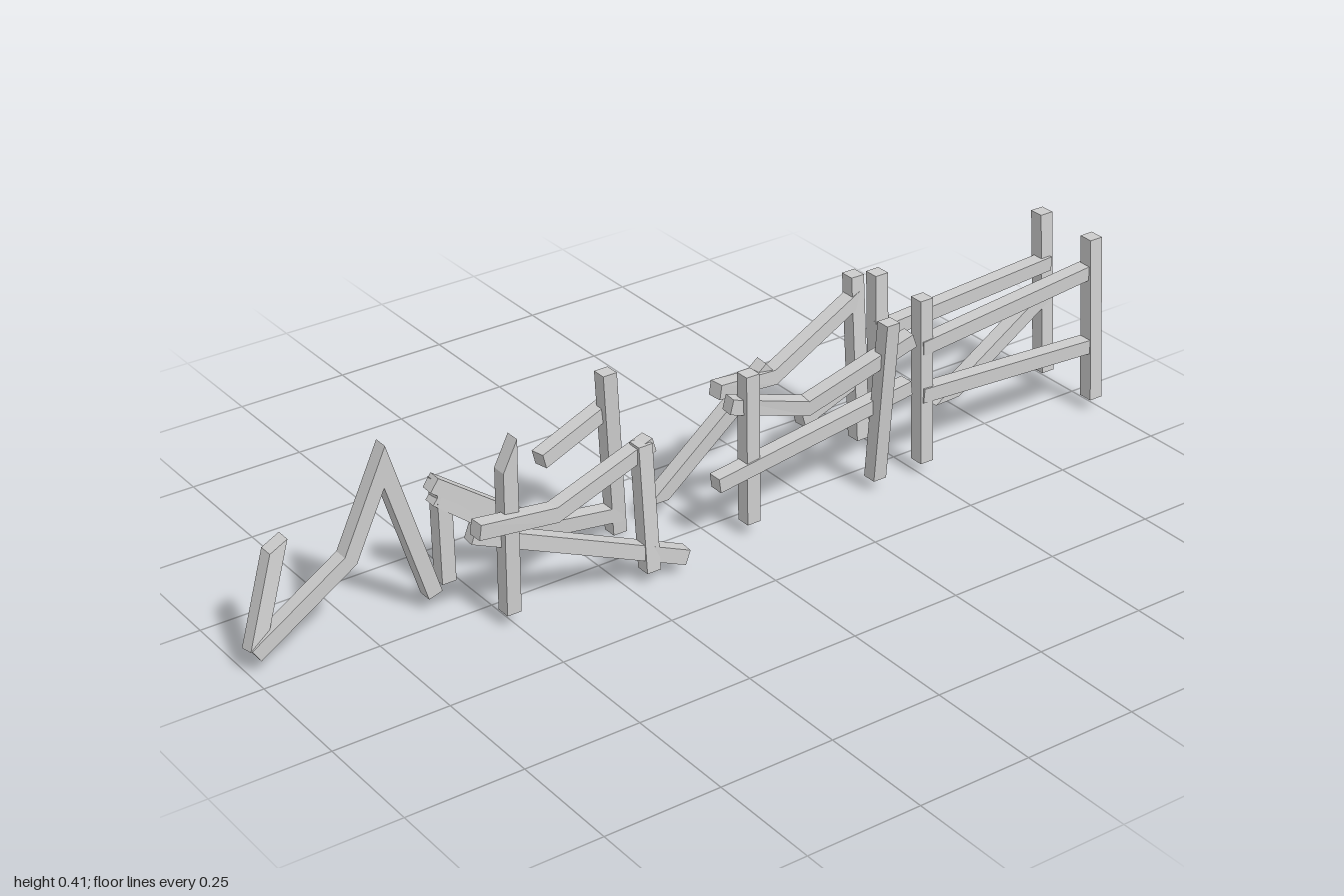
import * as THREE from 'three';

const HALF = 0.016; // half thickness of the square timber
const V = (p) => new THREE.Vector3(...p);

// Square timber through a list of points, with mitred bends.
// cutA / cutB are optional normals for slanted or level end cuts.
function timber(points, cutA, cutB, h = HALF) {
  const pts = points.map(V);
  const dirs = pts.slice(1).map((p, i) => p.clone().sub(pts[i]).normalize());
  const last = pts.length - 1;
  const rings = pts.map((p, i) => {
    const d = dirs[Math.min(i, last - 1)];
    let n = d.clone();
    if (i > 0 && i < last) n = dirs[i - 1].clone().add(dirs[i]).normalize();
    if (i === 0 && cutA) n = V(cutA).normalize();
    if (i === last && cutB) n = V(cutB).normalize();
    const s = new THREE.Vector3(0, 0, 1).addScaledVector(d, -d.z).normalize();
    const u = d.clone().cross(s);
    return [[1, 1], [-1, 1], [-1, -1], [1, -1]].map(([a, b]) => {
      const off = s.clone().multiplyScalar(a * h).addScaledVector(u, b * h);
      off.addScaledVector(d, -off.dot(n) / d.dot(n));
      return off.add(p);
    });
  });
  const pos = [];
  const quad = (a, b, c, d) => [a, b, c, a, c, d].forEach((v) => pos.push(v.x, v.y, v.z));
  for (let i = 0; i < last; i++) {
    for (let k = 0; k < 4; k++) {
      const m = (k + 1) % 4;
      quad(rings[i][k], rings[i][m], rings[i + 1][m], rings[i + 1][k]);
    }
  }
  const [a, b] = [rings[0], rings[last]];
  quad(a[3], a[2], a[1], a[0]);
  quad(b[0], b[1], b[2], b[3]);
  const geo = new THREE.BufferGeometry();
  geo.setAttribute('position', new THREE.Float32BufferAttribute(pos, 3));
  geo.computeVertexNormals();
  return geo;
}

export function createModel() {
  const model = new THREE.Group();
  model.name = 'brokenFence';
  const mat = new THREE.MeshStandardMaterial({ color: 0xcccccc, flatShading: true });
  const UP = [0, 1, 0];

  const row = (name) => {
    const g = new THREE.Group();
    g.name = name;
    model.add(g);
    return (part, ...args) => {
      const mesh = new THREE.Mesh(timber(...args), mat);
      mesh.name = part;
      g.add(mesh);
    };
  };
  // Post from the ground to a top point: level cut at the foot
  const post = (add, x0, y0, z0, x1, y1, z1, topCut = UP) =>
    add('post', [[x0, y0, z0], [x1, y1, z1]], UP, topCut);

  // Front row
  const front = row('frontRow');
  post(front, 0.983, 0.03, 0.077, 0.983, 0.397, 0.046);
  post(front, 0.51, 0.03, 0.08, 0.51, 0.397, 0.06);
  post(front, 0.385, 0.03, 0.08, 0.385, 0.397, 0.108);
  post(front, 0.07, 0.03, 0.07, 0.07, 0.36, 0.062);
  post(front, -0.2, 0.03, 0.105, -0.2, 0.3, 0.08);
  post(front, -0.505, 0.03, 0.075, -0.505, 0.375, 0.078, [-2, 1, 0]);
  front('upperRail', [[0.5, 0.29, 0.068], [0.99, 0.322, 0.046]]);
  front('lowerRail', [[0.5, 0.185, 0.075], [0.99, 0.152, 0.064]]);
  front('lowerRail', [[-0.015, 0.143, 0.07], [0.47, 0.212, 0.07]]);
  front('bentRail', [[0.03, 0.297, 0.05], [0.205, 0.25, 0.073], [0.45, 0.34, 0.1]]);
  front('bentRail', [[-0.59, 0.25, 0.1], [-0.41, 0.222, 0.09], [-0.175, 0.29, 0.072]]);
  front('fallenRail', [[-0.575, 0.215, 0.055], [-0.12, 0.036, 0.11]]);

  // Back row
  const back = row('backRow');
  post(back, 0.983, 0.03, -0.078, 0.983, 0.397, -0.111);
  post(back, 0.51, 0.03, -0.065, 0.51, 0.397, -0.085);
  post(back, 0.465, 0.03, -0.075, 0.465, 0.397, -0.108);
  post(back, -0.143, 0.002, -0.094, -0.175, 0.38, -0.075);
  post(back, -0.545, 0.03, -0.095, -0.545, 0.245, -0.1, [1, 1.5, 0]);
  back('upperRail', [[0.495, 0.278, -0.055], [0.99, 0.282, -0.096]]);
  back('fallenRail', [[0.69, 0.052, -0.07], [0.985, 0.212, -0.092]], UP);
  back('bentRail', [[0.07, 0.275, -0.047], [0.225, 0.252, -0.068], [0.475, 0.348, -0.105]]);
  back('fallenRail', [[-0.055, 0.046, -0.085], [0.215, 0.278, -0.072]], UP);
  back('brokenRail', [[0.305, 0.122, -0.075], [0.475, 0.172, -0.09]]);
  back('bentRail', [[-0.56, 0.22, -0.1], [-0.39, 0.088, -0.08], [-0.135, 0.045, -0.092]]);
  back('brokenRail', [[-0.565, 0.25, -0.1], [-0.36, 0.105, -0.08]]);
  back('brokenRail', [[-0.34, 0.243, -0.065], [-0.145, 0.293, -0.1]]);

  // Collapsed section at the far end
  back('collapsedRail',
    [[-0.985, 0.042, -0.064], [-0.775, 0.175, -0.064], [-0.692, 0.35, -0.064], [-0.595, 0.035, -0.064]]);
  back('collapsedPost', [[-0.982, 0.045, -0.066], [-0.905, 0.235, -0.1]], null, [-0.4, 1, 0]);
  return model;
}
